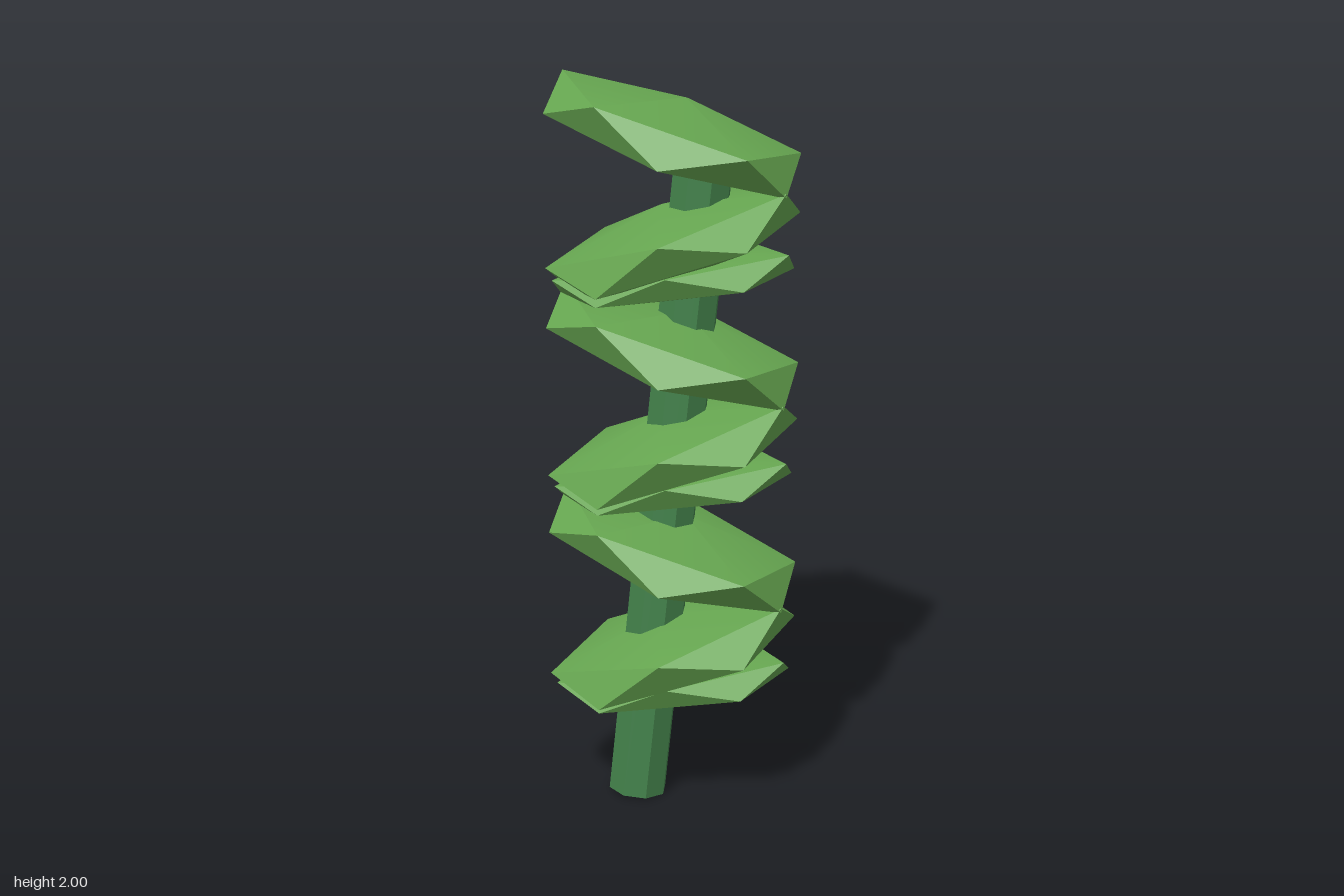
import * as THREE from 'three';
import { toCreasedNormals } from 'three/addons/utils/BufferGeometryUtils.js';

const leafGreen = new THREE.MeshStandardMaterial({ color: 0x67a751 });
const stemGreen = new THREE.MeshStandardMaterial({ color: 0x43824b });

// Flattened icosahedron standing on a corner, tilted so its -x end is raised
function leafGeometry(sx, sy, sz, tilt) {
  const geo = new THREE.IcosahedronGeometry(1, 0);
  geo.rotateZ(Math.atan(2 / (1 + Math.sqrt(5)))); // corner to the pole
  geo.rotateY(-Math.PI / 2); // upper ring points to -z
  geo.scale(sx, sy, sz);
  geo.rotateZ(-tilt);
  return toCreasedNormals(geo, THREE.MathUtils.degToRad(25));
}

export function createModel() {
  const model = new THREE.Group();
  model.name = 'leafyPlant';

  function add(name, geo, material, y, turn = 0) {
    const mesh = new THREE.Mesh(geo, material);
    mesh.name = name;
    mesh.position.y = y;
    mesh.rotation.y = turn;
    model.add(mesh);
    return mesh;
  }

  // Leaning eight-sided stem
  const lean = 0.101;
  const stemGeo = new THREE.CylinderGeometry(0.081, 0.081, 1.83, 8).toNonIndexed();
  stemGeo.rotateY(Math.PI / 8);
  const stem = add('stem', toCreasedNormals(stemGeo, 0.5), stemGreen, 0.922);
  stem.position.x = -0.008;
  stem.rotation.z = -lean;

  // Three repeating tiers of leaf clumps
  const large = leafGeometry(0.387, 0.1, 0.313, 0.322);
  const small = leafGeometry(0.367, 0.07, 0.2125, 0.13);
  for (let i = 0; i < 3; i++) {
    const y = i * 0.566;
    add('smallLeafClump', small, leafGreen, 0.348 + y, Math.PI);
    add('lowerLeafClump', large, leafGreen, 0.44 + y, Math.PI);
    add('upperLeafClump', large, leafGreen, 0.721 + y);
  }
  return model;
}
